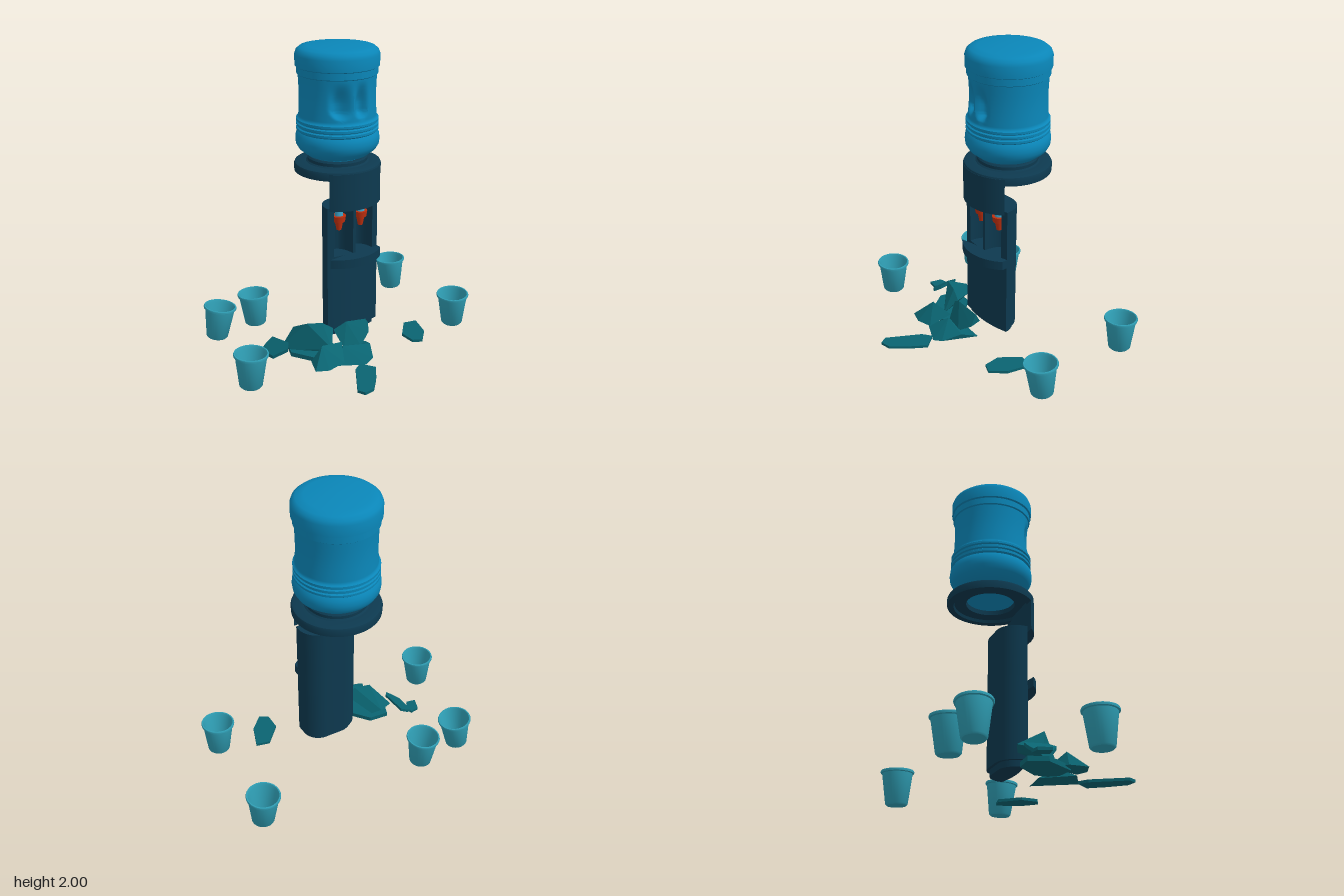
import * as THREE from 'three';
import { toCreasedNormals } from 'three/addons/utils/BufferGeometryUtils.js';
import { ConvexGeometry } from 'three/addons/geometries/ConvexGeometry.js';

const mat = (name, color) => {
  const m = new THREE.MeshStandardMaterial({ color });
  m.name = name;
  return m;
};
const BLUE = mat('bottle blue', 0x0a86b8);
const DARK = mat('stand navy', 0x0d394f);
const TEAL = mat('debris teal', 0x0a6471);
const CUP = mat('cup aqua', 0x2f9eb4);
const RED = mat('tap red', 0xc0300f);
const CAP = mat('tap cap blue', 0x3c9fc4);
CUP.side = THREE.DoubleSide;

const CX = 0.065, CZ = -0.155; // axis of bottle and collar

function add(parent, name, geo, material, x = 0, y = 0, z = 0) {
  const m = new THREE.Mesh(geo, material);
  m.name = name;
  m.position.set(x, y, z);
  parent.add(m);
  return m;
}
const lathe = (pts, seg = 48) =>
  new THREE.LatheGeometry(pts.map(([r, y]) => new THREE.Vector2(r, y)), seg);

// Plan outline drawn as (x, -z), raised from y0 to y1
function raise(shape, y0, y1) {
  const g = new THREE.ExtrudeGeometry(shape, { depth: y1 - y0, bevelEnabled: false, curveSegments: 16 });
  g.rotateX(-Math.PI / 2).translate(0, y0, 0);
  return toCreasedNormals(g, 0.6);
}

// Stand cross-section: slightly bowed front, deeply rounded back, optional front niches
function standShape({ niches = false, inset = 0 } = {}) {
  const half = 0.195 - inset, back = 0.135 - inset, round = 0.135 - inset;
  const L = CX - half, R = CX + half;
  const front = (x) => -0.045 + inset + 0.022 * ((x - CX) / half) ** 2;
  const s = new THREE.Shape();
  s.moveTo(L, front(L));
  if (niches) {
    for (const x of [CX - 0.15, CX + 0.01]) {
      s.lineTo(x, front(x));
      s.bezierCurveTo(x + 0.01, 0.12, x + 0.13, 0.12, x + 0.14, front(x + 0.14));
    }
    s.lineTo(R, front(R));
  } else {
    for (let i = 1; i <= 14; i++) {
      const x = L + (2 * half * i) / 14;
      s.lineTo(x, front(x));
    }
  }
  s.lineTo(R, back - round);
  s.absarc(R - round, back - round, round, 0, Math.PI / 2, false);
  s.absarc(L + round, back - round, round, Math.PI / 2, Math.PI, false);
  s.closePath();
  return s;
}

// Bowed front segment following the collar circle, run back to a given z
function bowShape(radius, backZ) {
  const a = Math.asin(0.196 / radius);
  const s = new THREE.Shape();
  s.moveTo(CX - 0.196, -backZ);
  s.absarc(CX, -CZ, radius, -Math.PI / 2 - a, -Math.PI / 2 + a, false);
  s.lineTo(CX + 0.196, -backZ);
  s.closePath();
  return s;
}

function makeBottle() {
  const pts = [[0, 1.24], [0.155, 1.24], [0.17, 1.29], [0.2, 1.3], [0.25, 1.34], [0.267, 1.37],
    [0.271, 1.4], [0.267, 1.435], [0.253, 1.455]];
  // three ribs
  for (let i = 0; i < 3; i++) {
    const y = 1.458 + i * 0.03;
    pts.push([0.255, y], [0.264, y + 0.006], [0.264, y + 0.02], [0.255, y + 0.026]);
  }
  // slightly waisted wall
  for (let i = 0; i <= 32; i++) {
    const t = i / 32;
    pts.push([0.25 - 0.005 * Math.sin(Math.PI * t), 1.553 + t * 0.267]);
  }
  // shoulder step and domed lid
  pts.push([0.258, 1.826], [0.258, 1.868], [0.268, 1.874], [0.269, 1.945], [0.26, 1.97],
    [0.238, 1.988], [0.19, 1.997], [0, 2]);
  const g = lathe(pts, 128);
  // two finger scoops either side of a grip
  const p = g.attributes.position;
  const step = THREE.MathUtils.smoothstep;
  for (let i = 0; i < p.count; i++) {
    const x = p.getX(i), y = p.getY(i), z = p.getZ(i);
    if (z <= 0 || y < 1.555 || y > 1.822) continue;
    for (const [c, w] of [[-0.112, 0.075], [0.02, 0.06]]) {
      const d = Math.abs(x - c);
      const floor = 1.565 + d * d * 8;
      const along = step(y, floor, floor + 0.05) * (1 - step(y, 1.66, 1.82));
      p.setZ(i, p.getZ(i) - 0.05 * (1 - step(d, 0.005, w)) * along);
    }
  }
  return toCreasedNormals(g, 0.7);
}

function makeTap(x) {
  const tap = new THREE.Group();
  tap.name = 'tap';
  const cyl = (name, rTop, rBot, y0, y1, m) =>
    add(tap, name, new THREE.CylinderGeometry(rTop, rBot, y1 - y0, 20), m, 0, (y0 + y1) / 2, 0);
  cyl('tapSpout', 0.028, 0.016, 0.825, 0.885, RED);
  cyl('tapFlange', 0.046, 0.04, 0.885, 0.925, RED);
  cyl('tapCap', 0.024, 0.028, 0.925, 0.955, CAP);
  cyl('tapKnob', 0.018, 0.02, 0.955, 0.975, RED);
  const pipe = add(tap, 'tapPipe', new THREE.CylinderGeometry(0.015, 0.015, 0.08, 12), RED, 0, 0.9, -0.045);
  pipe.rotation.x = Math.PI / 2;
  tap.position.set(x, 0, -0.01);
  return tap;
}

// Chunk of debris wrapped around a few corners
const chunk = (pts) => new ConvexGeometry(pts.map((p) => new THREE.Vector3(...p)));
// Flat scrap: plan outline in x, z with a base height and an optional rise along x
const scrap = (outline, y, thick = 0.018, rise = 0) => chunk(outline.flatMap(([x, z]) => {
  const h = y + rise * (x - outline[0][0]);
  return [[x, h, z], [x, h + thick, z]];
}));

export function createModel() {
  const root = new THREE.Group();
  root.name = 'waterDispenser';

  // Bottle and collar
  add(root, 'bottle', makeBottle(), BLUE, CX, 0, CZ);
  const collar = lathe([[0.158, 1.285], [0.158, 1.21], [0.235, 1.21], [0.24, 1.19], [0.281, 1.19],
    [0.283, 1.23], [0.277, 1.244], [0.262, 1.25], [0.205, 1.25], [0.195, 1.258], [0.195, 1.278],
    [0.185, 1.287], [0.158, 1.285]], 64);
  add(root, 'collar', toCreasedNormals(collar, 0.6), DARK, CX, 0, CZ);

  // Stand
  add(root, 'plinth', raise(standShape({ inset: 0.02 }), 0.085, 0.13), DARK);
  add(root, 'lowerStand', raise(standShape(), 0.125, 0.66), DARK);
  add(root, 'tapNiches', raise(standShape({ niches: true }), 0.66, 0.98), DARK);
  add(root, 'standTop', raise(standShape(), 0.98, 1.0), DARK);
  add(root, 'frontPanel', raise(bowShape(0.283, 0.05), 0.99, 1.235), DARK);
  add(root, 'dripTray', raise(bowShape(0.292, 0), 0.6, 0.66), DARK);
  for (const x of [-0.02, 0.148]) root.add(makeTap(x));

  // Cups: x, z, tilt about x, tilt about z
  const cupGeo = toCreasedNormals(lathe([[0, 0], [0.064, 0], [0.073, 0.01], [0.1, 0.208], [0.109, 0.212],
    [0.111, 0.22], [0.108, 0.228], [0.1, 0.228], [0.093, 0.21], [0.068, 0.018], [0, 0.018]], 32), 0.8);
  const cups = [[-0.79, 0.17, 0, -0.04], [-0.67, -0.515, 0.03, -0.14], [-0.37, -0.555, -0.04, 0.03],
    [0.785, -0.52, -0.03, 0.04], [0.785, 0.21, 0.04, 0.05]];
  for (const [x, z, rx, rz] of cups) {
    const cup = add(root, 'cup', cupGeo, CUP, x + Math.sin(rz) * 0.11, 0.014, z - Math.sin(rx) * 0.11);
    cup.rotation.set(rx, 0, rz);
  }

  // Heaped debris
  add(root, 'tallChunk', chunk([[-0.4, 0.06, 0], [-0.43, 0.1, -0.05], [-0.31, 0.25, 0.05], [-0.21, 0.24, 0.08],
    [-0.14, 0.19, 0.1], [-0.31, 0.15, -0.125], [-0.25, 0.12, -0.095], [-0.2, 0.09, 0.18], [-0.28, 0.05, 0.1]]), TEAL);
  add(root, 'frontChunk', chunk([[-0.36, 0.05, 0.18], [-0.395, 0.04, 0.29], [-0.31, 0.035, 0.32],
    [-0.19, 0.05, 0.31], [-0.125, 0.12, 0.18], [-0.29, 0.15, 0.2], [-0.25, 0.05, 0.12]]), TEAL);
  add(root, 'sideChunk', chunk([[-0.15, 0.19, 0.12], [-0.07, 0.24, 0.15], [0.09, 0.21, 0.14], [0.12, 0.17, 0.13],
    [0.09, 0.13, 0.18], [0, 0.07, 0.22], [-0.12, 0.08, 0.2]]), TEAL);
  add(root, 'lowChunk', chunk([[-0.235, 0.03, 0.29], [-0.07, 0.03, 0.38], [0, 0.05, 0.36], [0.06, 0.08, 0.24],
    [0.1, 0.035, 0.13], [-0.125, 0.1, 0.2], [-0.1, 0.03, 0.1]]), TEAL);
  add(root, 'underSheet', scrap([[-0.42, 0.03], [-0.38, -0.09], [-0.25, -0.08], [-0.13, 0.06], [-0.13, 0.2],
    [-0.3, 0.22]], 0.035, 0.03), TEAL);

  // Loose scraps
  add(root, 'rightScrap', scrap([[0.365, 0.19], [0.47, 0.07], [0.56, 0.09], [0.515, 0.24], [0.43, 0.33],
    [0.37, 0.3]], 0.02), TEAL);
  add(root, 'frontScrap', scrap([[-0.105, 0.36], [-0.04, 0.45], [-0.115, 0.555], [-0.2, 0.65], [-0.27, 0.66],
    [-0.295, 0.61], [-0.165, 0.4]], 0.02), TEAL);
  add(root, 'smallScrap', scrap([[-0.64, -0.05], [-0.615, -0.13], [-0.555, -0.14], [-0.545, -0.095],
    [-0.575, -0.04]], 0.025), TEAL);
  add(root, 'leaningScrap', scrap([[-0.555, -0.13], [-0.51, -0.145], [-0.46, -0.145], [-0.43, 0.015], [-0.46, 0.055],
    [-0.54, 0]], 0.03, 0.022, 0.65), TEAL);
  return root;
}
